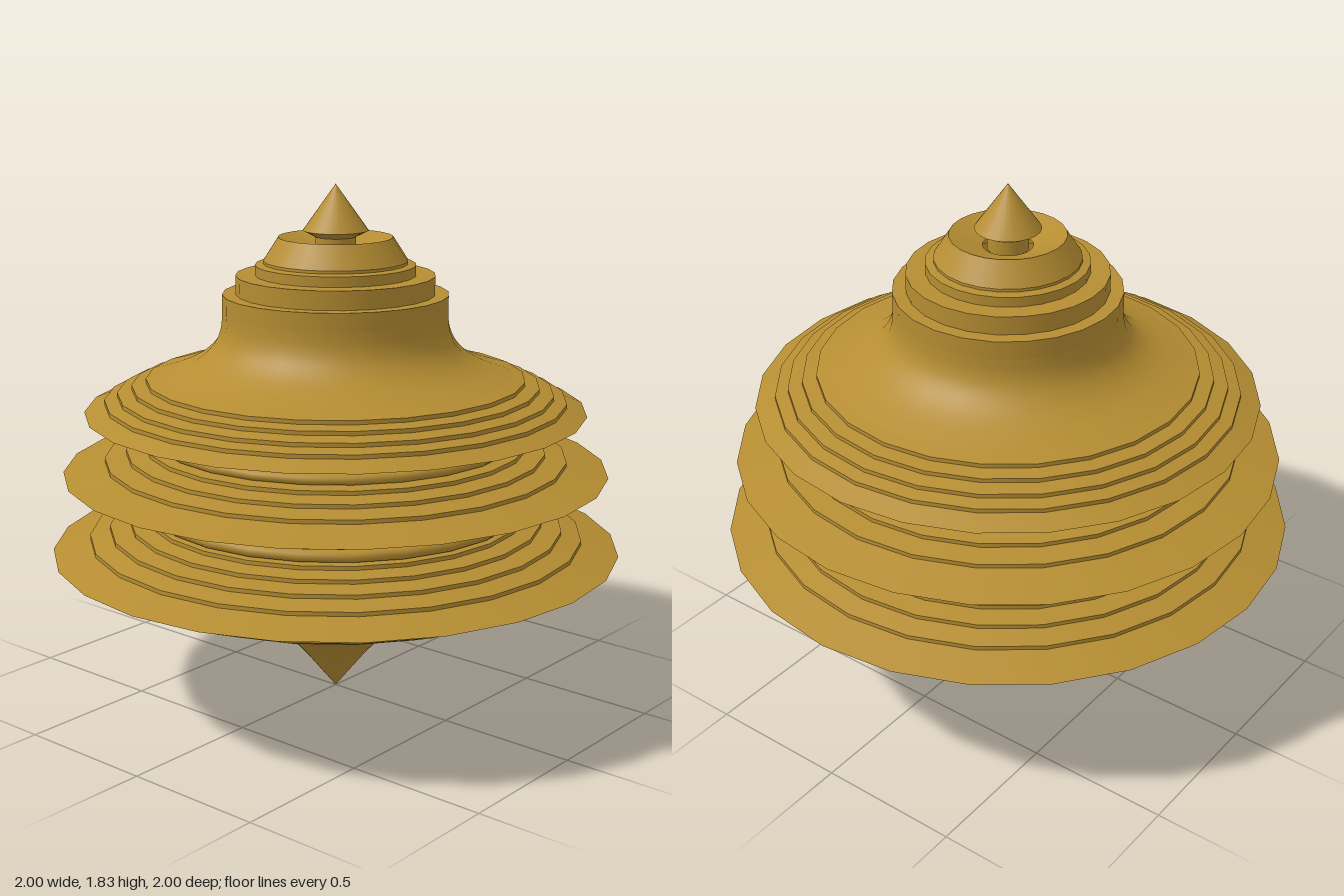
import * as THREE from 'three';
import { mergeGeometries } from 'three/addons/utils/BufferGeometryUtils.js';

const SIDES = 24;
const vec = (pts) => pts.map(([x, y]) => new THREE.Vector2(x, y));

// Turned surface whose profile corners all stay sharp (profile runs bottom to top)
function sharpTurned(pts) {
  const bands = [];
  for (let i = 0; i < pts.length - 1; i++) {
    bands.push(new THREE.LatheGeometry(vec([pts[i], pts[i + 1]]), SIDES));
  }
  return mergeGeometries(bands);
}

// Turned surface with a smooth curved profile
function smoothTurned(pts, steps = 20) {
  return new THREE.LatheGeometry(new THREE.SplineCurve(vec(pts)).getPoints(steps), SIDES);
}

// Turns a list of slope corners into terraces: sloping tread, then a short riser
function terraces(pts, rise) {
  const out = [pts[0]];
  for (let i = 1; i < pts.length; i++) {
    const [r, y] = pts[i];
    if (i === pts.length - 1) out.push([r, y]);
    else out.push([r, y - rise / 2], [r, y + rise / 2]);
  }
  return out;
}

export function createModel() {
  const model = new THREE.Group();
  const brass = new THREE.MeshStandardMaterial({ color: 0xb58d32, side: THREE.DoubleSide });
  brass.name = 'brass';
  const add = (name, geometry) => {
    const mesh = new THREE.Mesh(geometry, brass);
    mesh.name = name;
    model.add(mesh);
  };

  // Pointed foot with a concave flare
  add('foot', smoothTurned([[0, 0.005], [0.06, 0.08], [0.13, 0.165], [0.2, 0.232],
    [0.28, 0.29], [0.37, 0.332], [0.48, 0.368]]));
  add('footLip', sharpTurned([[0.48, 0.368], [0.455, 0.378], [0.5, 0.38]]));

  // Three wide tiers, each stepped below and above its sharp rim
  const tiers = [
    {
      name: 'lower',
      under: [[0.5, 0.38], [0.54, 0.392], [0.62, 0.415], [0.69, 0.435], [0.76, 0.46],
        [0.82, 0.485], [0.88, 0.51], [1, 0.555]],
      over: [[1, 0.555], [0.87, 0.598], [0.8, 0.63], [0.73, 0.655], [0.67, 0.68], [0.62, 0.695]],
    },
    {
      name: 'middle',
      under: [[0.6, 0.733], [0.66, 0.748], [0.73, 0.768], [0.8, 0.79], [0.955, 0.836]],
      over: [[0.955, 0.836], [0.81, 0.878], [0.735, 0.905], [0.67, 0.93], [0.6, 0.947]],
    },
    {
      name: 'upper',
      under: [[0.58, 0.977], [0.63, 0.992], [0.7, 1.01], [0.875, 1.05]],
      over: [[0.875, 1.05], [0.805, 1.085], [0.76, 1.11], [0.71, 1.135], [0.66, 1.157], [0.615, 1.176]],
    },
  ];
  for (const { name, under, over } of tiers) {
    add(name + 'TierUnderside', sharpTurned(terraces(under, 0.01)));
    add(name + 'TierTop', sharpTurned(terraces(over, 0.014)));
  }

  // Rounded beads between the tiers
  for (const [name, radius, y, half] of [['lowerBead', 0.645, 0.713, 0.021], ['upperBead', 0.622, 0.961, 0.018]]) {
    const bead = [[radius - 0.05, y - half], [radius, y - half]];
    for (let a = -60; a <= 60; a += 30) {
      const t = THREE.MathUtils.degToRad(a);
      bead.push([radius + half * Math.cos(t), y + half * Math.sin(t)]);
    }
    bead.push([radius, y + half], [radius - 0.05, y + half]);
    add(name, new THREE.LatheGeometry(vec(bead), SIDES));
  }

  // Sweeping shoulder rising to the crown
  add('shoulder', smoothTurned([[0.615, 1.176], [0.53, 1.205], [0.465, 1.24], [0.42, 1.285],
    [0.398, 1.335], [0.392, 1.39]]));

  // Stepped crown with a dished top
  add('crown', sharpTurned([[0.392, 1.39], [0.392, 1.455], [0.345, 1.455], [0.345, 1.52],
    [0.278, 1.52], [0.278, 1.555], [0.25, 1.56], [0.25, 1.57]]));
  add('crownCap', sharpTurned([[0.25, 1.57], [0.248, 1.572], [0.198, 1.65], [0.085, 1.61]]));

  // Finial: short neck, flared collar and cone
  add('finial', sharpTurned([[0.07, 1.6], [0.07, 1.65], [0.113, 1.672], [0, 1.83]]));

  return model;
}
